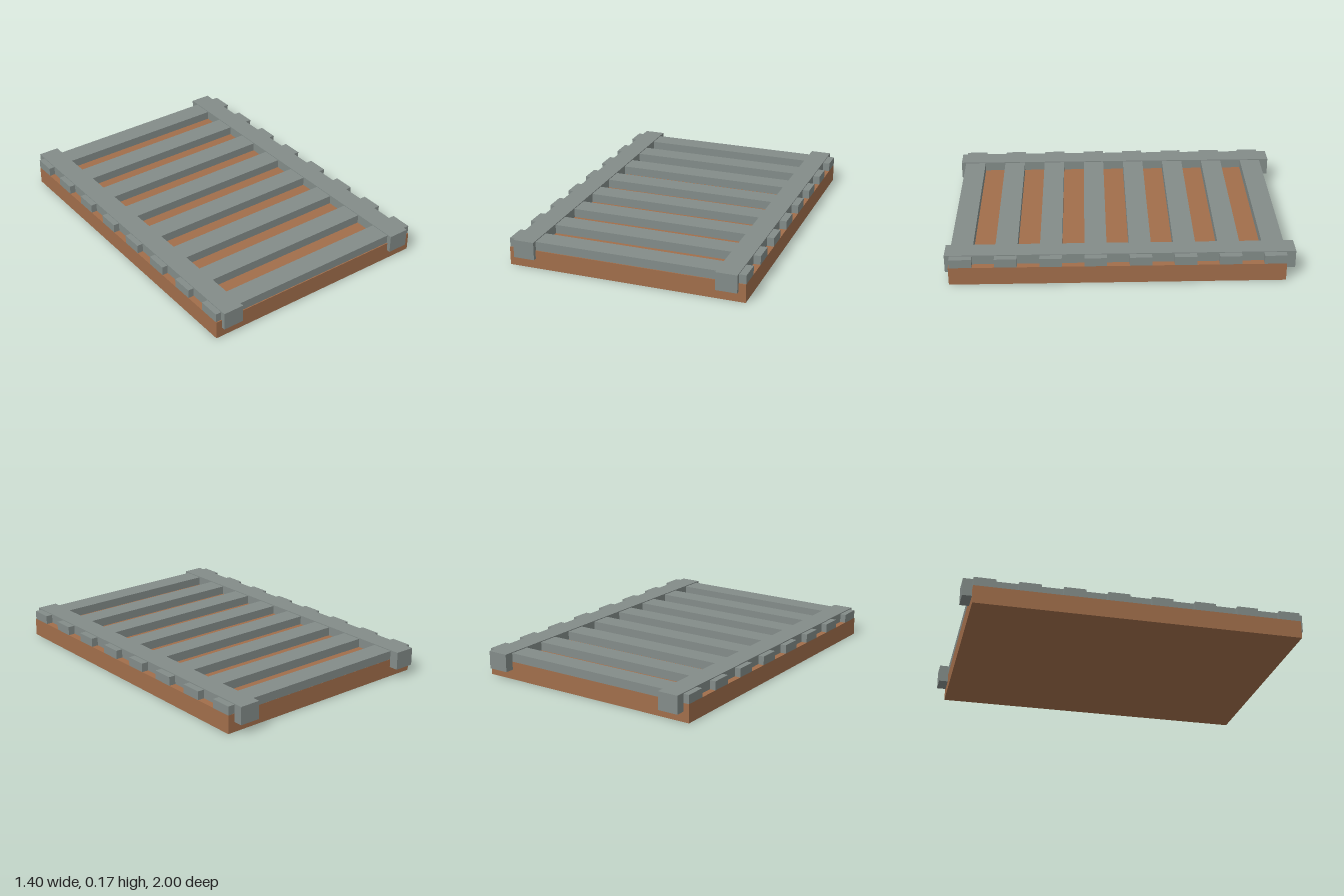
import * as THREE from 'three';

export function createModel() {
  const model = new THREE.Group();
  model.name = 'slattedPlatform';

  const brown = new THREE.MeshStandardMaterial({ color: 0xa16e4b });
  brown.name = 'brown earth';
  const grey = new THREE.MeshStandardMaterial({ color: 0x838c89 });
  grey.name = 'weathered grey';

  // Box given by its lower and upper corners
  function addBox(name, material, [x0, y0, z0], [x1, y1, z1]) {
    const mesh = new THREE.Mesh(new THREE.BoxGeometry(x1 - x0, y1 - y0, z1 - z0), material);
    mesh.position.set((x0 + x1) / 2, (y0 + y1) / 2, (z0 + z1) / 2);
    mesh.name = name;
    model.add(mesh);
  }

  // Solid bed
  const bedTop = 0.108;
  addBox('bed', brown, [-0.7, 0, -0.945], [0.7, bedTop, 0.977]);

  // Eight cross slats resting on the bed
  const slatCount = 8, firstZ = -0.881, pitch = 0.2555, slatWidth = 0.127;
  for (let i = 0; i < slatCount; i++) {
    const z = firstZ + i * pitch;
    addBox(`slat${i + 1}`, grey, [-0.7, bedTop, z - slatWidth / 2], [0.7, 0.16, z + slatWidth / 2]);
  }

  // Two long rails, proud of the slats and overhanging both ends
  for (const [name, x] of [['rightRail', -0.602], ['leftRail', 0.596]]) {
    addBox(name, grey, [x - 0.0625, 0.059, -1], [x + 0.0625, 0.165, 1]);
  }

  return model;
}
